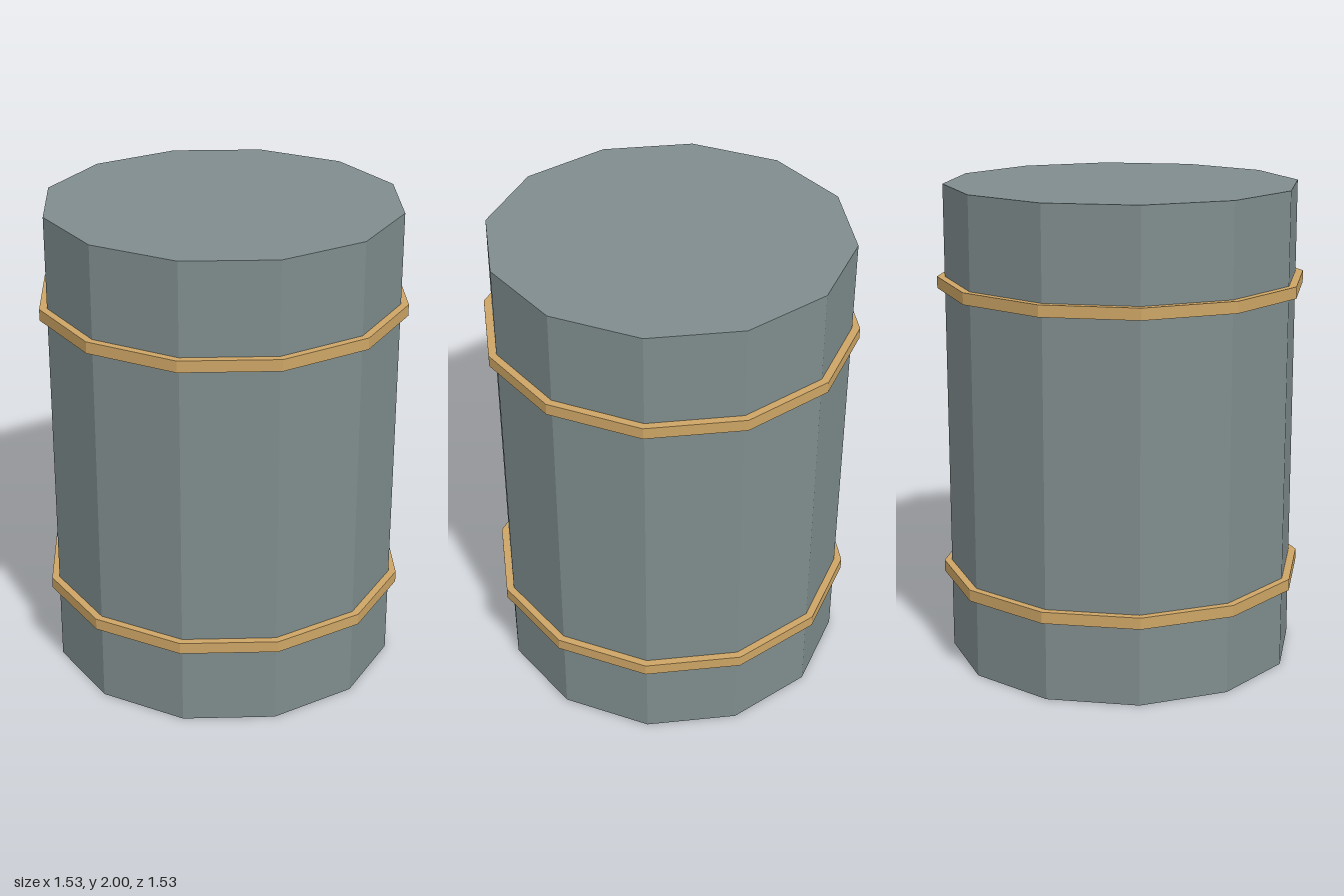
import * as THREE from 'three';

const SIDES = 12;

export function createModel() {
  const model = new THREE.Group();
  model.name = 'barrel';

  const bodyMaterial = new THREE.MeshStandardMaterial({ color: 0x7f8c8d, flatShading: true });
  const bandMaterial = new THREE.MeshStandardMaterial({ color: 0xcda565, flatShading: true });

  // Twelve-sided prism standing with its centre at height y
  function addDrum(name, radius, height, y, material) {
    const mesh = new THREE.Mesh(new THREE.CylinderGeometry(radius, radius, height, SIDES), material);
    mesh.name = name;
    mesh.position.y = y;
    model.add(mesh);
  }

  // Closed body
  addDrum('body', 0.734, 2, 1, bodyMaterial);

  // Hoops around the body
  addDrum('lowerBand', 0.766, 0.048, 0.36, bandMaterial);
  addDrum('upperBand', 0.766, 0.048, 1.595, bandMaterial);

  return model;
}
